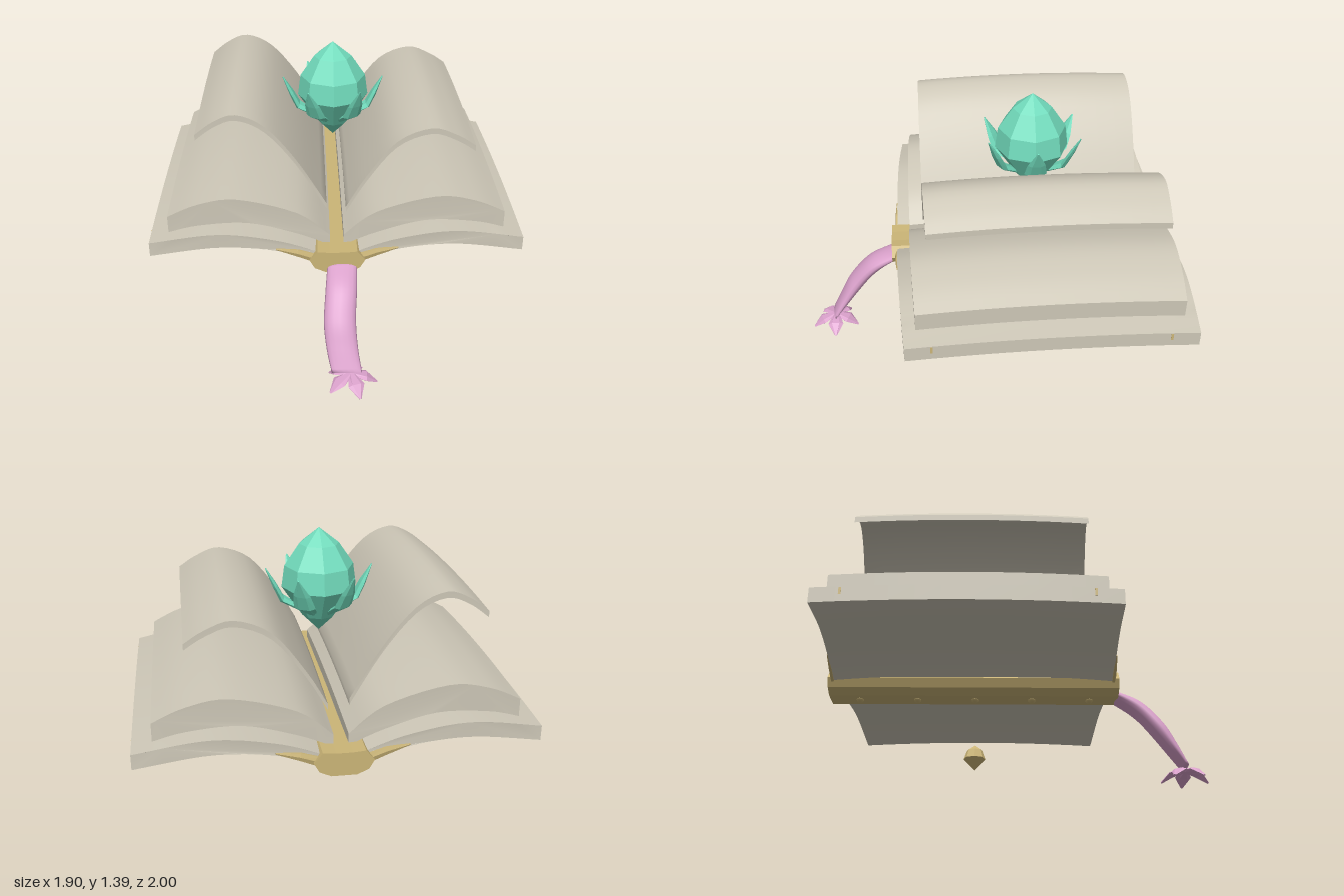
import * as THREE from 'three';
import { toCreasedNormals } from 'three/addons/utils/BufferGeometryUtils.js';

const MID_Z = -0.24; // centre of the book along z
const mat = (name, color, opts = {}) => {
  const m = new THREE.MeshStandardMaterial({ color, ...opts });
  m.name = name;
  return m;
};
const V = (x, y, z = 0) => new THREE.Vector3(x, y, z);

// Curved slab: a splined profile extruded along z, drooping and narrowing at its ends
function slab(top, bottom, side, halfLength, droop, taper) {
  const spline = (pts) => new THREE.SplineCurve(
    pts.map(([x, y]) => new THREE.Vector2(x * side, y))).getPoints(20);
  const shape = new THREE.Shape([...spline(top), ...spline(bottom).reverse()]);
  const geo = new THREE.ExtrudeGeometry(shape, { depth: 2, steps: 12, bevelEnabled: false });
  const p = geo.attributes.position;
  for (let i = 0; i < p.count; i++) {
    const x = p.getX(i), t = p.getZ(i) - 1;
    p.setY(i, p.getY(i) - droop * t * t);
    p.setZ(i, MID_Z + t * halfLength * (1 - taper * x * x));
  }
  return toCreasedNormals(geo, 0.6);
}

// Loft of elliptical rings along stations [x, y, z, halfWidth, halfThickness]
function loft(stations, across, sides, flat) {
  const pos = [], idx = [], last = stations.length - 1;
  const at = (i) => V(...stations[i].slice(0, 3));
  stations.forEach(([, , , w, h], i) => {
    const t = at(Math.min(i + 1, last)).sub(at(Math.max(i - 1, 0))).normalize();
    const up = t.clone().cross(across).normalize();
    for (let j = 0; j < sides; j++) {
      const a = (j / sides) * Math.PI * 2;
      const v = at(i).addScaledVector(across, Math.cos(a) * w).addScaledVector(up, Math.sin(a) * h);
      pos.push(v.x, v.y, v.z);
    }
  });
  for (let i = 0; i < last; i++) for (let j = 0; j < sides; j++) {
    const a = i * sides + j, b = i * sides + (j + 1) % sides;
    idx.push(a, b, a + sides, b, b + sides, a + sides);
  }
  for (let j = 1; j < sides - 1; j++) {
    const e = last * sides;
    idx.push(0, j + 1, j, e, e + j, e + j + 1);
  }
  const geo = new THREE.BufferGeometry();
  geo.setAttribute('position', new THREE.Float32BufferAttribute(pos, 3));
  geo.setIndex(idx);
  const out = flat ? geo.toNonIndexed() : geo;
  out.computeVertexNormals();
  return out;
}

export function createModel() {
  const root = new THREE.Group();
  root.name = 'openBook';
  const paper = mat('paper', 0xcdc7b7);
  const gold = mat('gold', 0xcbb577);
  const teal = mat('teal crystal', 0x72dcbd, { flatShading: true });
  const pink = mat('pink', 0xdba2cc);
  const goldFlat = gold;
  const add = (name, geo, material, parent = root) => {
    const m = new THREE.Mesh(geo, material);
    m.name = name;
    parent.add(m);
    return m;
  };

  // Covers, page blocks and lifted pages on both sides
  const coverTop = [[0.09, 0.55], [0.3, 0.62], [0.6, 0.655], [0.95, 0.6]];
  const coverBottom = [[0.09, 0.49], [0.3, 0.56], [0.6, 0.58], [0.95, 0.525]];
  const blockTop = [[0.035, 0.61], [0.2, 0.74], [0.5, 0.82], [0.7, 0.79], [0.855, 0.72]];
  const blockBottom = [[0.035, 0.55], [0.2, 0.62], [0.45, 0.685], [0.7, 0.67], [0.855, 0.63]];
  const lifted = {
    left: [[0.05, 0.73], [0.15, 0.9], [0.3, 1.09], [0.47, 1.16], [0.6, 1.12], [0.695, 1.06]],
    right: [[0.05, 0.75], [0.2, 1.0], [0.35, 1.18], [0.49, 1.245], [0.6, 1.21], [0.695, 1.14]],
  };
  for (const [label, s] of [['left', 1], ['right', -1]]) {
    add(`${label}Cover`, slab(coverTop, coverBottom, s, 0.735, 0.02, 0.05), paper);
    add(`${label}PageBlock`, slab(blockTop, blockBottom, s, 0.665, 0.02, 0.04), paper);
    const under = lifted[label].map(([x, y]) => [x, y - 0.03]);
    add(`${label}LiftedPage`, slab(lifted[label], under, s, 0.59, 0.018, 0.04), paper);

    // Gold spikes reaching from the spine ends under the covers
    for (const z of [0.495, -0.975]) {
      const spike = loft([[s * 0.1, 0.495, z, 0.014, 0.028], [s * 0.2, 0.53, z, 0.012, 0.022],
        [s * 0.31, 0.553, z, 0.003, 0.004]], V(0, 0, 1), 6, true);
      add('spineSpike', spike, goldFlat);
    }
    // Small studs on the outer cover edges
    for (const z of [0.335, -0.805]) {
      const stud = add('edgeStud', new THREE.BoxGeometry(0.012, 0.035, 0.012), gold);
      stud.position.set(s * 0.946, 0.565, z);
    }
  }

  // Spine bar
  const section = new THREE.Shape([[-0.06, 0.43], [0.06, 0.43], [0.115, 0.455], [0.14, 0.5], [0.1, 0.55],
    [0.04, 0.545], [-0.04, 0.545], [-0.1, 0.55], [-0.14, 0.5], [-0.115, 0.455]]
    .map(([x, y]) => new THREE.Vector2(x, y)));
  const spine = new THREE.ExtrudeGeometry(section, { depth: 1.525, bevelEnabled: false });
  add('spine', spine.translate(0, 0, -1), gold);

  // Rivets along the underside of the spine
  for (let i = 0; i < 5; i++) {
    const rivet = add('spineRivet', new THREE.SphereGeometry(0.02, 10, 8), gold);
    rivet.position.set(0, 0.432, 0.375 - i * 0.305);
    rivet.scale.set(1.5, 0.8, 1);
  }

  // Small gem hanging free below the book
  const lathe = (profile, sides) => {
    const g = new THREE.LatheGeometry(profile.map(([r, y]) => new THREE.Vector2(r, y)), sides).toNonIndexed();
    g.computeVertexNormals();
    return g;
  };
  const gem = lathe([[0, 0.04], [0.058, 0.1], [0.042, 0.145], [0, 0.175]], 8);
  add('hangingGem', gem, goldFlat).position.z = -0.23;

  // Crystal bud above the pages
  const crystal = new THREE.Group();
  crystal.name = 'crystalBud';
  crystal.position.z = -0.235;
  root.add(crystal);
  add('crystalCore', lathe([[0, 0.85], [0.085, 0.935], [0.19, 1.09], [0.175, 1.2], [0.1, 1.31], [0, 1.39]], 8),
    teal, crystal);
  const petal = loft([[0.06, 0.95, 0, 0.015, 0.012], [0.19, 1.03, 0, 0.058, 0.016],
    [0.225, 1.1, 0, 0.046, 0.013], [0.27, 1.19, 0, 0.004, 0.003]], V(0, 0, 1), 6, true);
  for (let i = 0; i < 6; i++) {
    add('crystalPetal', petal, teal, crystal).rotation.y = (i * Math.PI) / 3;
  }

  // Ribbon-like tail hanging from the front of the spine
  const path = new THREE.CatmullRomCurve3([V(0.025, 0.465, 0.5), V(0.015, 0.385, 0.63),
    V(0.005, 0.27, 0.73), V(0.015, 0.16, 0.805), V(0.035, 0.065, 0.87)]);
  const size = new THREE.CatmullRomCurve3([V(0.075, 0.022), V(0.079, 0.04),
    V(0.08, 0.042), V(0.078, 0.03), V(0.075, 0.014)]);
  const stations = [];
  for (let i = 0; i <= 24; i++) {
    const p = path.getPoint(i / 24), w = size.getPoint(i / 24);
    stations.push([p.x, p.y, p.z, w.x, w.y]);
  }
  add('tail', loft(stations, V(1, 0, 0), 16, false), pink);

  // Splayed petals at the end of the tail
  const foot = new THREE.Group();
  foot.name = 'tailFlower';
  foot.position.set(0.055, 0, 0.87);
  root.add(foot);
  const toe = loft([[0, 0.06, 0, 0.015, 0.012], [0.075, 0.045, 0, 0.042, 0.012],
    [0.13, 0.005, 0, 0.006, 0.004]], V(0, 0, 1), 6, true);
  for (let i = 0; i < 5; i++) {
    add('flowerPetal', toe, pink, foot).rotation.y = -(i * Math.PI * 2) / 5;
  }
  return root;
}
